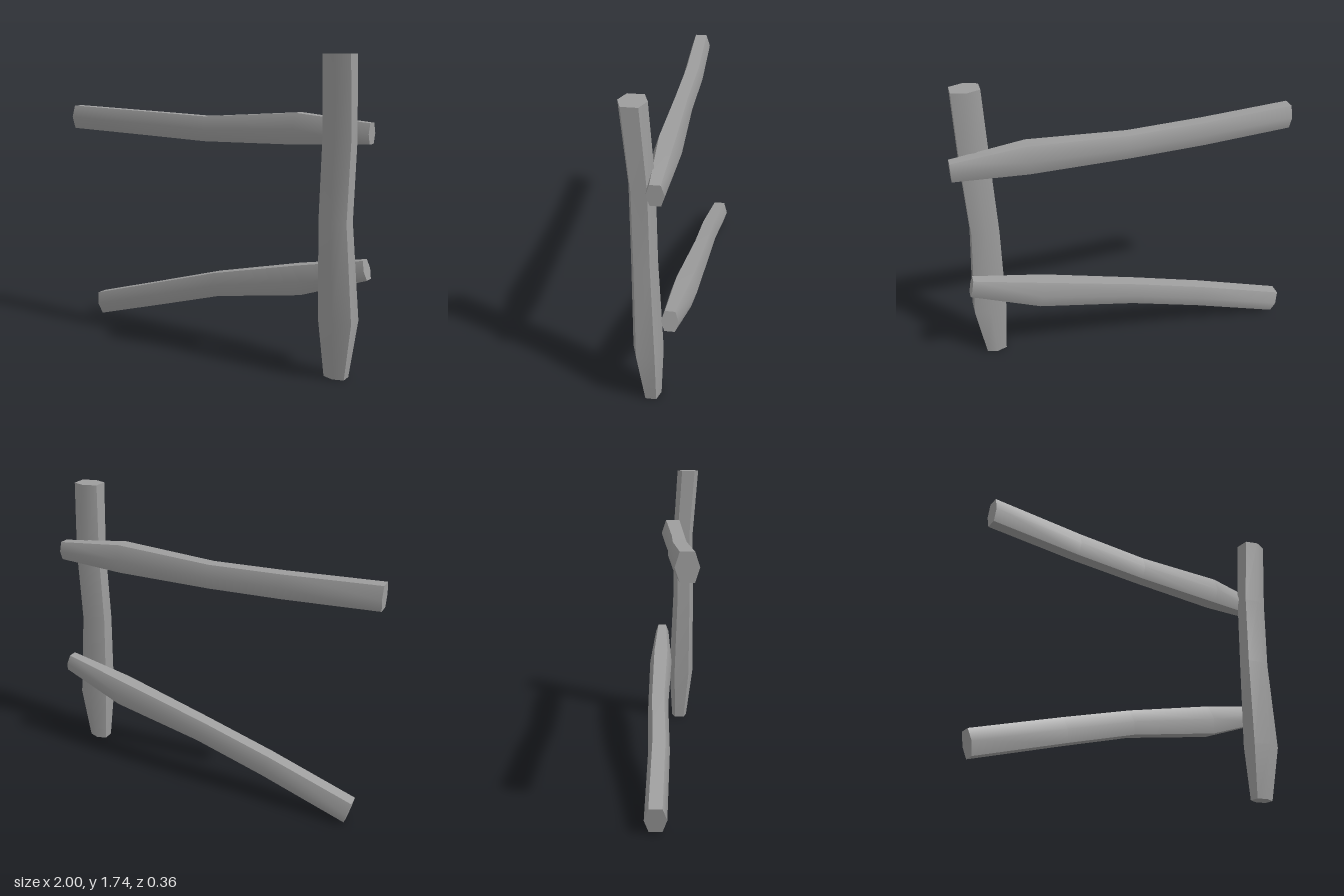
import * as THREE from 'three';
import { toCreasedNormals } from 'three/addons/utils/BufferGeometryUtils.js';

// Hewn six-sided section: two flats (top, bottom) and a shallow ridge front and back
const K = 0.6;
const SECTION = [[1, -K], [1, K], [0, 1], [-1, K], [-1, -K], [0, -1]];

// Log running along x; each station is [x, centreY, centreZ, halfHeight, halfDepth]
function logGeometry(stations) {
  const n = SECTION.length;
  const positions = [];
  const index = [];
  for (const [x, cy, cz, h, d] of stations) {
    for (const [y, z] of SECTION) positions.push(x, cy + y * h, cz + z * d);
  }
  for (let i = 0; i < stations.length - 1; i++) {
    for (let j = 0; j < n; j++) {
      const a = i * n + j;
      const b = i * n + (j + 1) % n;
      index.push(a, b, b + n, a, b + n, a + n);
    }
  }
  // End caps
  const last = (stations.length - 1) * n;
  for (let j = 1; j < n - 1; j++) {
    index.push(0, j + 1, j, last, last + j, last + j + 1);
  }
  const geometry = new THREE.BufferGeometry();
  geometry.setAttribute('position', new THREE.Float32BufferAttribute(positions, 3));
  geometry.setIndex(index);
  return toCreasedNormals(geometry, THREE.MathUtils.degToRad(50));
}

export function createModel() {
  const group = new THREE.Group();
  group.name = 'fenceSection';
  // Weathered, darker grey wood
  const wood = new THREE.MeshStandardMaterial({ color: 0x9d9d9d });

  const add = (name, geometry) => {
    const mesh = new THREE.Mesh(geometry, wood);
    mesh.name = name;
    group.add(mesh);
    return mesh;
  };

  // Upright post, tapered at the foot and leaning forward at the top
  const post = logGeometry([
    [0, -0.865, 0.052, 0.06, 0.05],
    [0.33, -0.875, 0.066, 0.096, 0.082],
    [0.87, -0.85, 0.079, 0.08, 0.069],
    [1.31, -0.861, 0.078, 0.081, 0.066],
    [1.74, -0.863, 0.11, 0.078, 0.07],
  ]);
  post.rotateZ(Math.PI / 2);
  add('post', post);

  // Both rails share one bent log, swollen near the post and narrow at the tip
  const rail = logGeometry([
    [-1, 0.037, 0.029, 0.072, 0.059],
    [-0.45, 0.016, 0.012, 0.072, 0.061],
    [0, 0, 0.017, 0.072, 0.061],
    [0.58, 0.024, 0, 0.086, 0.072],
    [1, 0.013, -0.01, 0.055, 0.045],
  ]);
  add('upperRail', rail).position.set(0, 1.321, 0);

  // Lower rail is rolled half a turn and has dropped to the ground at its far end
  const lower = add('lowerRail', rail);
  lower.position.set(0.003, 0.36, -0.086);
  lower.rotation.set(Math.PI, -0.009, THREE.MathUtils.degToRad(14.2), 'ZYX');

  return group;
}
